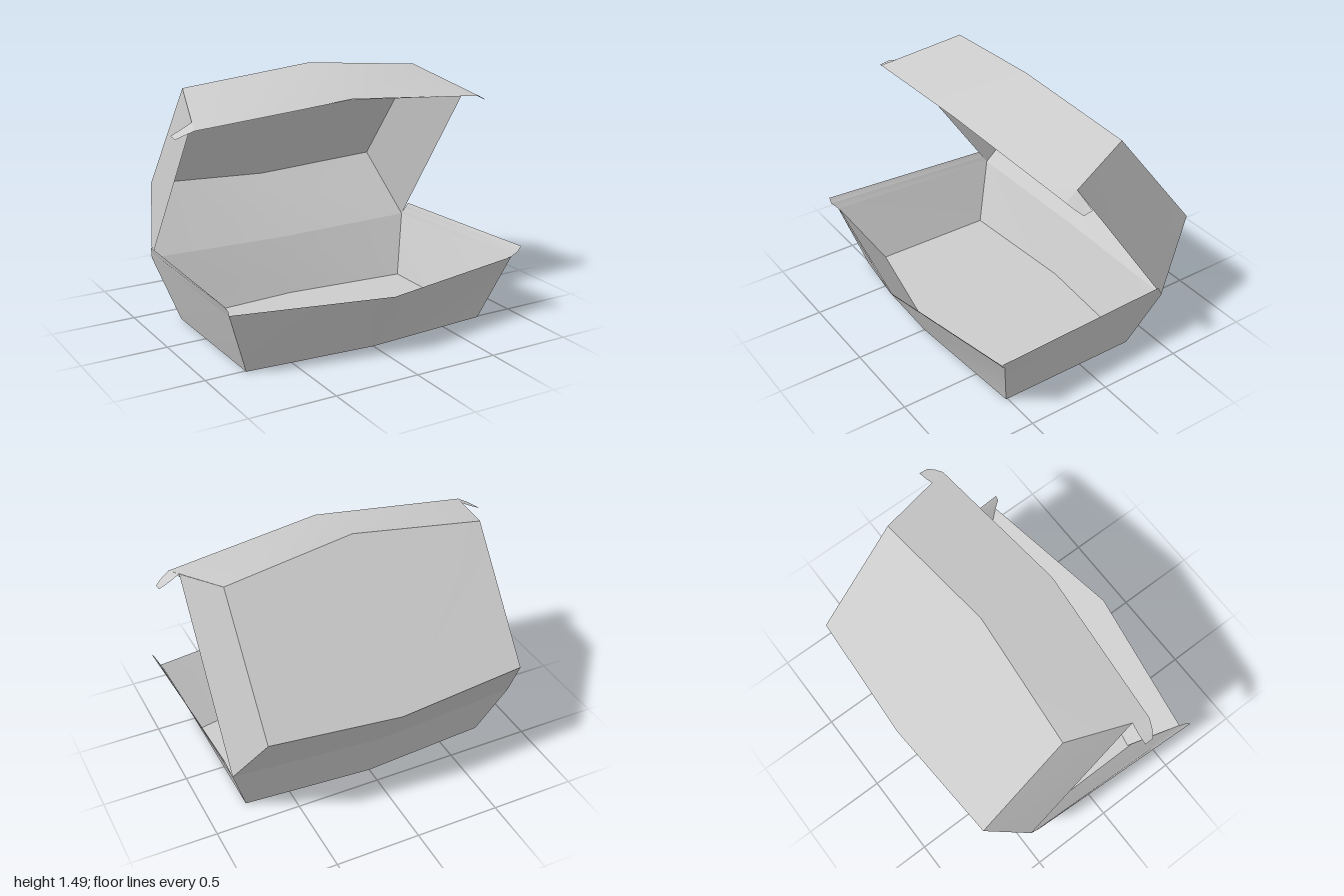
import * as THREE from 'three';

const material = new THREE.MeshStandardMaterial({ color: 0xcccccc, side: THREE.DoubleSide });

// A fold line across the box: two mirrored corners and a centre point
const fold = (x, y, z, yMid, zMid) => [[-x, y, z], [0, yMid, zMid], [x, y, z]];

// Card panel spanned between two rows of points with equal counts
function panel(name, a, b) {
  const n = a.length;
  const index = [];
  for (let i = 0; i < n - 1; i++) {
    index.push(i, i + 1, n + i + 1, i, n + i + 1, n + i);
  }
  const geometry = new THREE.BufferGeometry();
  geometry.setAttribute('position', new THREE.Float32BufferAttribute([...a, ...b].flat(), 3));
  geometry.setIndex(index);
  geometry.computeVertexNormals();
  const mesh = new THREE.Mesh(geometry, material);
  mesh.name = name;
  return mesh;
}

// The same panel on both sides, mirrored in x
function sidePair(name, a, b) {
  const flip = (row) => row.map(([x, y, z]) => [-x, y, z]);
  return [panel('left' + name, a, b), panel('right' + name, flip(b), flip(a))];
}

export function createModel() {
  const box = new THREE.Group();
  box.name = 'openCartonBox';

  // Fold lines, from the front rim round the bottom and up over the lid
  const frontRim = fold(0.91, 0.385, 0.62, 0.365, 0.775);
  const floorFront = fold(0.765, 0, 0.51, 0, 0.565);
  const floorBack = fold(0.765, 0, -0.345, 0, -0.4);
  const hinge = fold(0.88, 0.36, -0.48, 0.33, -0.52);
  const lidBack = fold(0.765, 0.735, -0.735, 0.685, -0.775);
  const lidFront = fold(0.765, 1.405, -0.215, 1.49, -0.155);
  const lidEdge = fold(0.91, 1.275, 0.255, 1.36, 0.32);

  // Tray
  const tray = new THREE.Group();
  tray.name = 'tray';
  tray.add(
    panel('trayFront', floorFront, frontRim),
    panel('trayFloor', floorBack, floorFront),
    panel('trayBack', hinge, floorBack),
    // Inner lining of the front wall
    panel('trayFrontLining', fold(0.758, 0.004, 0.39, 0.004, 0.54), fold(0.907, 0.382, 0.615, 0.362, 0.77)),
    ...sidePair('TraySide', [floorFront[2], floorBack[2]], [frontRim[2], hinge[2]]),
    // Flared flanges along the side rims
    ...sidePair('TrayFlange', [frontRim[2], hinge[2]], [[0.93, 0.425, 0.655], [0.89, 0.4, -0.46]]),
    ...sidePair('TrayFlangeTop', [[0.93, 0.425, 0.655], [0.89, 0.4, -0.46]], [[0.95, 0.455, 0.655], [0.9, 0.44, -0.435]]),
  );

  // Lid, hinged open
  const lid = new THREE.Group();
  lid.name = 'lid';
  const sideTip = [0.88, 1.3, 0.16];
  lid.add(
    panel('lidBack', lidBack, hinge),
    panel('lidTop', lidFront, lidBack),
    panel('lidFront', lidEdge, lidFront),
    // Inner lining of the front wall
    panel('lidFrontLining', fold(0.905, 1.274, 0.25, 1.355, 0.315), fold(0.738, 1.3, -0.285, 1.465, -0.168)),
    ...sidePair('LidSide', [hinge[2], sideTip], [lidBack[2], lidFront[2]]),
    // Ears that tuck over the tray flanges
    ...sidePair('LidEar', [sideTip, lidEdge[2]], [[0.94, 1.268, 0.155], [0.96, 1.252, 0.235]]),
    ...sidePair('LidEarTip', [[0.94, 1.268, 0.155], [0.96, 1.252, 0.235]], [[1, 1.24, 0.155], [1, 1.23, 0.21]]),
  );

  box.add(tray, lid);
  return box;
}
